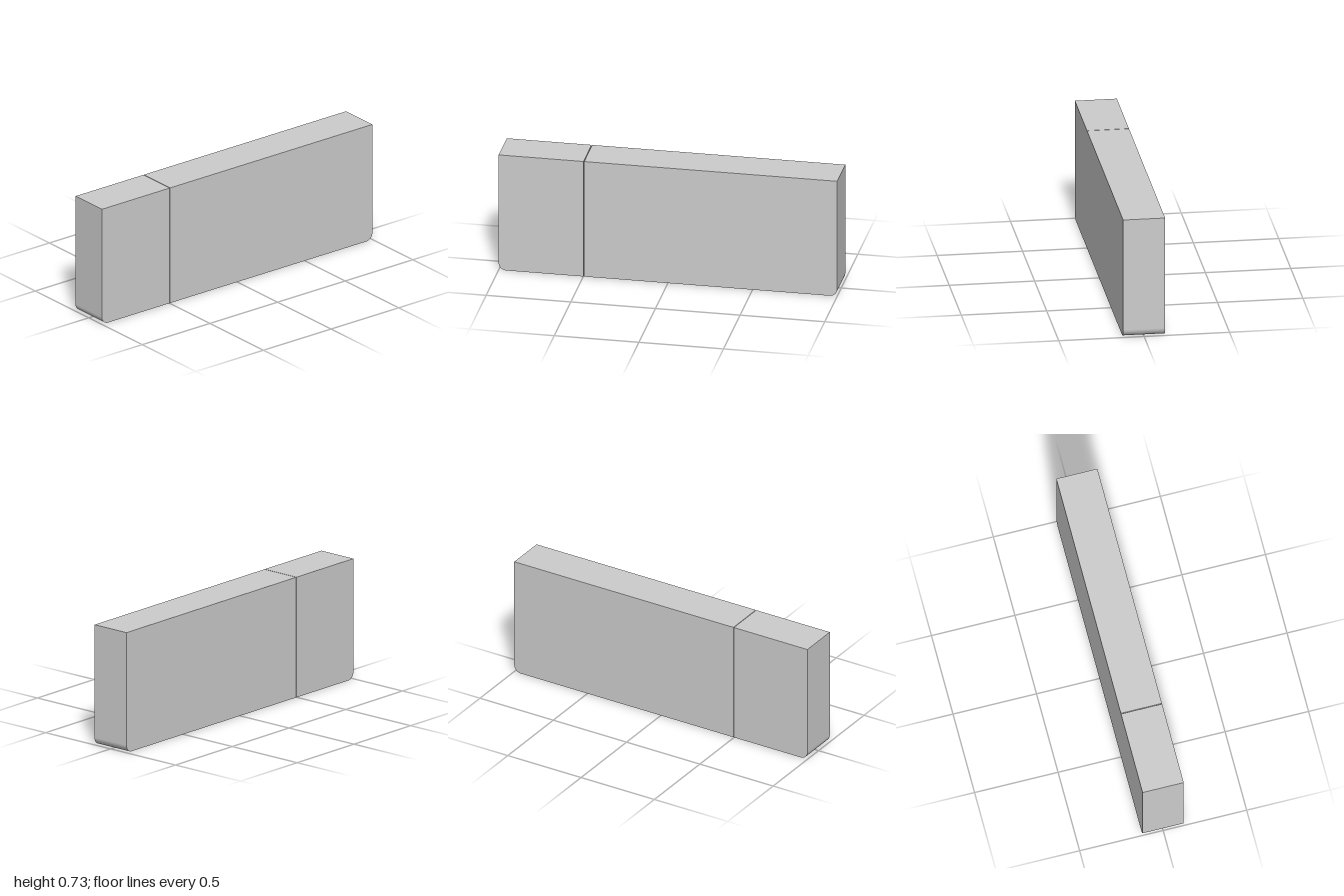
import * as THREE from 'three';
import { toCreasedNormals } from 'three/addons/utils/BufferGeometryUtils.js';

const WIDTH = 0.246, HEIGHT = 0.727, R = 0.045; // R: end rounding and port plate thickness
const POCKET_TOP = 0.25, SEAM = 0.497, GAP = 0.002;
const material = new THREE.MeshStandardMaterial({ color: 0xcccccc });

// Openings on the underside: centre x, z, size along x and z, corner radius, turn
const frontPorts = [
  { x: 0, z: 0.865, w: 0.148, l: 0.148, r: 0.0735 },
  { x: -0.025, z: 0.593, w: 0.12, l: 0.045, r: 0.022, turn: 0.62 },
];
const mainPorts = [
  { x: 0, z: 0.4, w: 0.092, l: 0.092, r: 0.0455 },
  { x: -0.038, z: 0.227, w: 0.06, l: 0.012, r: 0.0055, turn: 0.62 },
  { x: -0.017, z: 0.078, w: 0.1, l: 0.036, r: 0.0175, turn: 0.62 },
  { x: 0, z: -0.252, w: 0.117, l: 0.39, r: 0.025 },
  { x: 0, z: -0.757, w: 0.078, l: 0.37, r: 0.015 },
];

// Rounded rectangle as a path, drawn in plan (shape y = -z)
function portPath({ x, z, w, l, r, turn = 0 }) {
  const points = [];
  const corners = [[1, 1], [-1, 1], [-1, -1], [1, -1]];
  corners.forEach(([sx, sy], i) => {
    const steps = r > 0 ? 8 : 0;
    for (let k = 0; k <= steps; k++) {
      const a = (i + (steps ? k / steps : 0)) * Math.PI / 2;
      const p = new THREE.Vector2(
        sx * (w / 2 - r) + r * Math.cos(a),
        sy * (l / 2 - r) + r * Math.sin(a));
      points.push(p.rotateAround(new THREE.Vector2(), turn).add(new THREE.Vector2(x, -z)));
    }
  });
  return new THREE.Path(points);
}

// Rectangular layer between two heights, pierced by openings
function layer(name, z0, z1, y0, y1, holes = []) {
  const h = WIDTH / 2;
  const shape = new THREE.Shape([
    new THREE.Vector2(-h, -z1), new THREE.Vector2(h, -z1),
    new THREE.Vector2(h, -z0), new THREE.Vector2(-h, -z0),
  ]);
  shape.holes = holes.map(portPath);
  const geo = new THREE.ExtrudeGeometry(shape, { depth: y1 - y0, bevelEnabled: false });
  geo.rotateX(-Math.PI / 2).translate(0, y0, 0);
  const mesh = new THREE.Mesh(toCreasedNormals(geo, 0.6), material);
  mesh.name = name;
  return mesh;
}

// Quarter-round lower edge at the +z end
function roundedEdge(name) {
  const shape = new THREE.Shape();
  shape.moveTo(1 - R, 0);
  shape.absarc(1 - R, R, R, -Math.PI / 2, 0, false);
  shape.lineTo(1 - R, R);
  const geo = new THREE.ExtrudeGeometry(shape, { depth: WIDTH, bevelEnabled: false, curveSegments: 16 });
  geo.rotateY(-Math.PI / 2).translate(WIDTH / 2, 0, 0);
  const mesh = new THREE.Mesh(toCreasedNormals(geo, 0.5), material);
  mesh.name = name;
  return mesh;
}

// Port plate, pocketed block and solid upper body of one section
function section(name, z0, z1, ports) {
  const group = new THREE.Group();
  group.name = name;
  // Straight ports get square-cornered pockets behind the plate
  const pockets = ports.map((p) => (p.turn ? p : { ...p, r: 0 }));
  group.add(
    layer('portPlate', Math.max(z0, -1 + R), Math.min(z1, 1 - R), 0, R, ports),
    layer('pocketBlock', z0, z1, R, POCKET_TOP, pockets),
    layer('upperBody', z0, z1, POCKET_TOP, HEIGHT));
  return group;
}

export function createModel() {
  const model = new THREE.Group();
  model.name = 'dockCase';

  // Two sections parted by a hairline seam
  const front = section('frontSection', SEAM + GAP, 1, frontPorts);
  front.add(roundedEdge('frontRoundedEdge'));

  const main = section('mainSection', -1, SEAM - GAP, mainPorts);
  const backEdge = roundedEdge('backRoundedEdge');
  backEdge.rotation.y = Math.PI;
  main.add(backEdge);

  model.add(front, main);
  return model;
}
